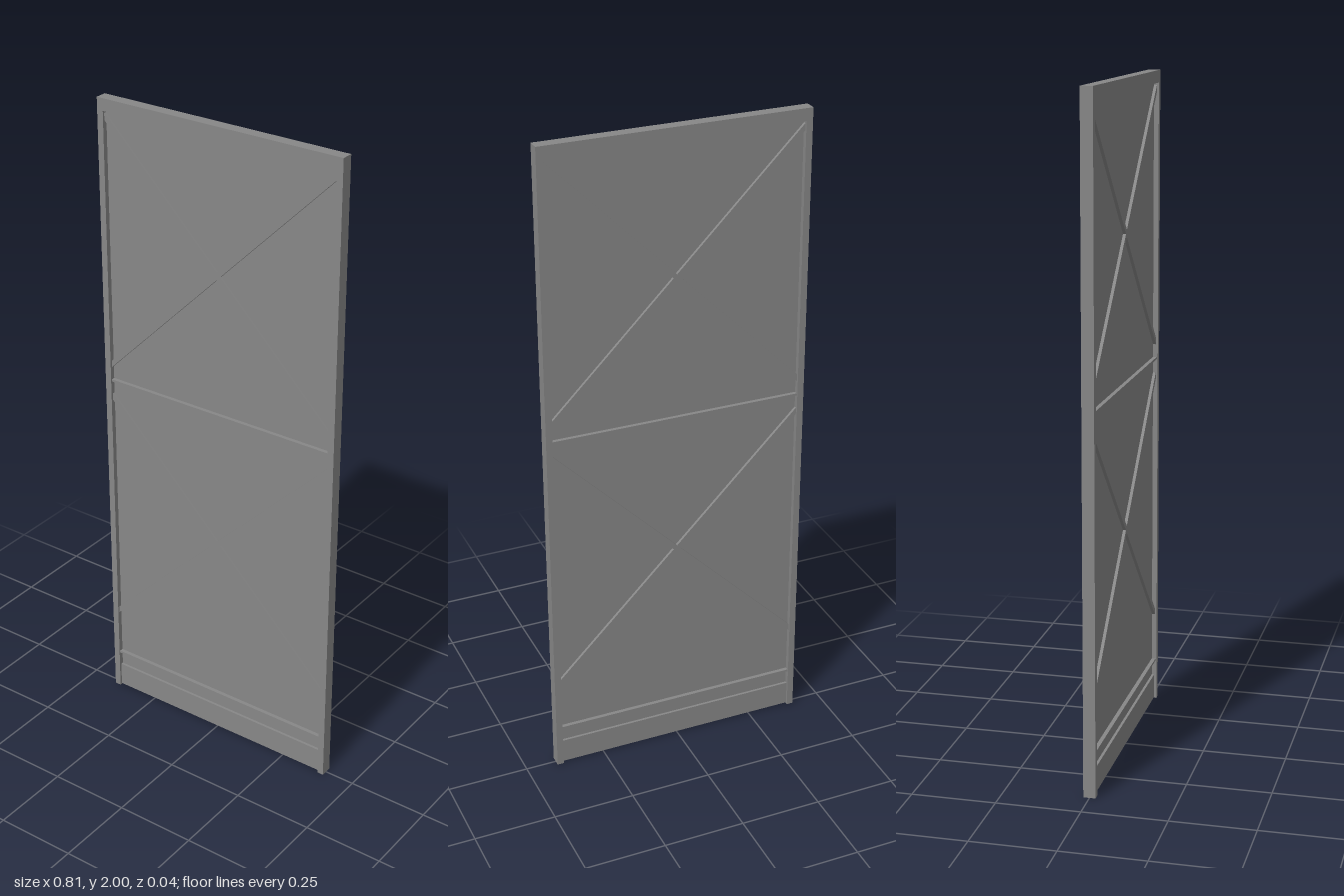
import * as THREE from 'three';

const W = 0.81, H = 2, D = 0.036; // overall door size
const STILE = 0.02, TOP = 0.037, KICK = 0.08;

export function createModel() {
  const door = new THREE.Group();
  door.name = 'door';
  const material = new THREE.MeshStandardMaterial({ color: 0x878787 });

  const addBox = (name, w, h, d, x, y, angle = 0) => {
    const mesh = new THREE.Mesh(new THREE.BoxGeometry(w, h, d), material);
    mesh.name = name;
    mesh.position.set(x, y, 0);
    mesh.rotation.z = angle;
    door.add(mesh);
  };

  const inner = W - 2 * STILE;

  // Outer frame
  addBox('topRail', W, TOP, D, 0, H - TOP / 2);
  for (const [name, s] of [['leftStile', 1], ['rightStile', -1]]) {
    addBox(name, STILE, H - TOP, D, s * (W - STILE) / 2, (H - TOP) / 2);
  }

  // Recessed panel and kick board, visible on both faces
  addBox('panel', inner, H - TOP - KICK, 0.006, 0, (H - TOP + KICK) / 2);
  addBox('kickBoard', inner, KICK - 0.003, 0.022, 0, (KICK + 0.003) / 2);

  // Thin horizontal battens
  addBox('middleBatten', inner, 0.007, 0.03, 0, 1.121);
  addBox('lowerBatten', inner, 0.007, 0.03, 0, 0.131);

  // Crossed braces, their ends buried in the stiles
  const braceLength = (inner + 0.018) * Math.SQRT2;
  for (const [section, y] of [['upper', 1.56], ['lower', 0.68]]) {
    for (const [way, s] of [['Rising', 1], ['Falling', -1]]) {
      addBox(`${section}${way}Brace`, braceLength, 0.015, 0.024, 0, y, s * Math.PI / 4);
    }
  }

  return door;
}
